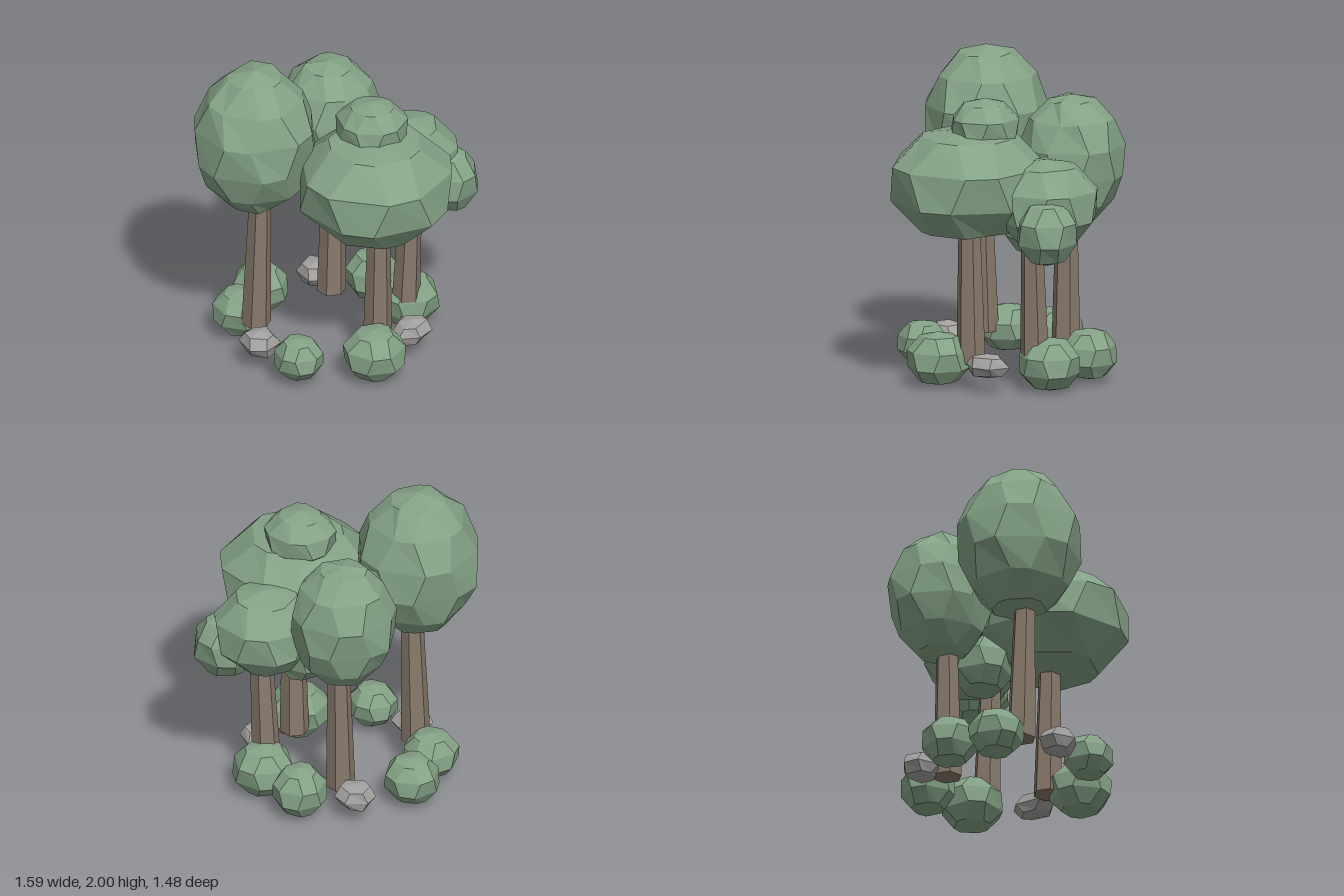
import * as THREE from 'three';
import { mergeVertices } from 'three/addons/utils/BufferGeometryUtils.js';

const mat = (name, color) => {
  const m = new THREE.MeshStandardMaterial({ color, flatShading: true });
  m.name = name;
  return m;
};

// Small seeded random numbers in -1..1
function seeded(seed) {
  let s = seed * 7919 + 17;
  return () => {
    s = (s * 16807) % 2147483647;
    return (s / 2147483647) * 2 - 1;
  };
}

// Faceted ball of an even number of sides, with facets alternately wide and narrow.
// swell > 1 pushes the shape out vertically; it is then levelled at top and floor.
function blob(center, radii, { sides = 10, rings = 5, jitter = 0.03, swell = 1, floor = -1, turn = 0, seed = 1 } = {}) {
  let geo = new THREE.SphereGeometry(1, sides, rings);
  geo.deleteAttribute('uv');
  geo.deleteAttribute('normal');
  const v = new THREE.Vector3();
  const up = new THREE.Vector3(0, 1, 0);
  let p = geo.attributes.position;
  for (let i = 0; i < p.count; i++) {
    const parity = (Math.floor(i / (sides + 1)) + (i % (sides + 1))) % 2;
    v.fromBufferAttribute(p, i).applyAxisAngle(up, turn + (parity ? 0.1 : -0.1));
    p.setXYZ(i, v.x, v.y, v.z);
  }
  geo = mergeVertices(geo, 1e-3);
  // widen so that the widest ring reaches the given radius
  const widen = 1.02 / (rings % 2 ? Math.cos(Math.PI / (2 * rings)) : 1);
  const rnd = seeded(seed);
  for (let i = 0; i < 5; i++) rnd();
  p = geo.attributes.position;
  for (let i = 0; i < p.count; i++) {
    v.fromBufferAttribute(p, i).multiplyScalar(1 + jitter * rnd());
    v.y = THREE.MathUtils.clamp(v.y * swell, floor, 1);
    p.setXYZ(i,
      center[0] + v.x * radii[0] * widen,
      center[1] + v.y * radii[1],
      center[2] + v.z * radii[2] * widen);
  }
  geo.computeVertexNormals();
  return geo;
}

// Six-sided tapered trunk leaning from base to top
function trunk(base, top, r0 = 0.093, r1 = 0.066) {
  const h = top[1] - base[1];
  const geo = new THREE.CylinderGeometry(r1, r0, h, 6);
  geo.rotateY(0.25);
  const p = geo.attributes.position;
  for (let i = 0; i < p.count; i++) {
    const t = p.getY(i) / h + 0.5;
    p.setXYZ(i,
      p.getX(i) + THREE.MathUtils.lerp(base[0], top[0], t),
      base[1] + t * h,
      p.getZ(i) + THREE.MathUtils.lerp(base[2], top[2], t));
  }
  geo.computeVertexNormals();
  return geo;
}

export function createModel() {
  const model = new THREE.Group();
  model.name = 'grove';
  const foliage = mat('foliage green', 0x84a285);
  const bark = mat('bark brown', 0x88796b);
  const stone = mat('stone grey', 0xa2a19f);
  const add = (parent, name, geo, material) => {
    const m = new THREE.Mesh(geo, material);
    m.name = name;
    parent.add(m);
  };

  // Trees: trunk ends and foliage clumps as [center, radii, options]
  const trees = [
    { name: 'tallTree', base: [-0.395, 0.18, 0.355], top: [-0.36, 1.2, 0.36],
      crown: [[[-0.41, 1.51, 0.35], [0.38, 0.49, 0.38], { rings: 7, floor: -0.93, turn: 0.3, seed: 3 }]] },
    { name: 'wideTree', base: [0.32, 0.15, 0.07], top: [0.335, 1.15, 0.075],
      crown: [
        [[0.32, 1.295, 0.09], [0.47, 0.335, 0.475], { swell: 1.1, turn: 0.35, seed: 5 }],
        [[0.24, 1.64, 0.015], [0.22, 0.18, 0.21], { turn: 0.5, seed: 6 }]] },
    { name: 'backRightSideTree', base: [-0.26, 0.14, -0.29], top: [-0.25, 1.15, -0.3],
      crown: [[[-0.295, 1.36, -0.315], [0.325, 0.42, 0.32], { rings: 7, turn: 0.1, seed: 8 }]] },
    { name: 'backLeftSideTree', base: [0.255, 0.125, -0.345], top: [0.3, 1.1, -0.345],
      crown: [
        [[0.22, 1.19, -0.41], [0.31, 0.28, 0.31], { swell: 1.06, turn: 0.4, seed: 9 }],
        [[0.44, 1.06, -0.53], [0.2, 0.21, 0.185], { sides: 8, swell: 1.04, turn: 0.2, seed: 10 }],
        [[0.05, 1.0, -0.24], [0.19, 0.19, 0.19], { sides: 8, swell: 1.04, turn: 0.6, seed: 11 }]] },
  ];
  for (const t of trees) {
    const tree = new THREE.Group();
    tree.name = t.name;
    add(tree, 'trunk', trunk(t.base, t.top), bark);
    for (const c of t.crown) add(tree, 'foliage', blob(...c), foliage);
    model.add(tree);
  }

  // Bushes: x, y, z, radius, half height
  const bushes = [
    [-0.62, 0.175, -0.03, 0.17, 0.155], [-0.56, 0.175, 0.28, 0.17, 0.15],
    [-0.115, 0.18, -0.535, 0.165, 0.163], [0.055, 0.175, 0.555, 0.15, 0.137],
    [0.415, 0.173, 0.25, 0.19, 0.17], [0.22, 0.17, -0.43, 0.188, 0.17],
  ];
  bushes.forEach(([x, y, z, r, h], i) => add(model, 'bush',
    blob([x, y, z], [r, h, r], { sides: 8, swell: 1.04, jitter: 0.02, turn: i * 0.7, seed: 20 + i }), foliage));

  // Rocks: x, y, z, half sizes
  const rocks = [
    [-0.255, 0.17, 0.53, 0.128, 0.09, 0.12],
    [0.455, 0.17, -0.115, 0.11, 0.083, 0.15],
    [-0.43, 0.165, -0.38, 0.13, 0.087, 0.125],
  ];
  rocks.forEach(([x, y, z, a, b, c], i) => add(model, 'rock',
    blob([x, y, z], [a, b, c], { sides: 6, rings: 4, jitter: 0.08, turn: 0.5 + i * 1.1, seed: 40 + i }), stone));

  return model;
}
